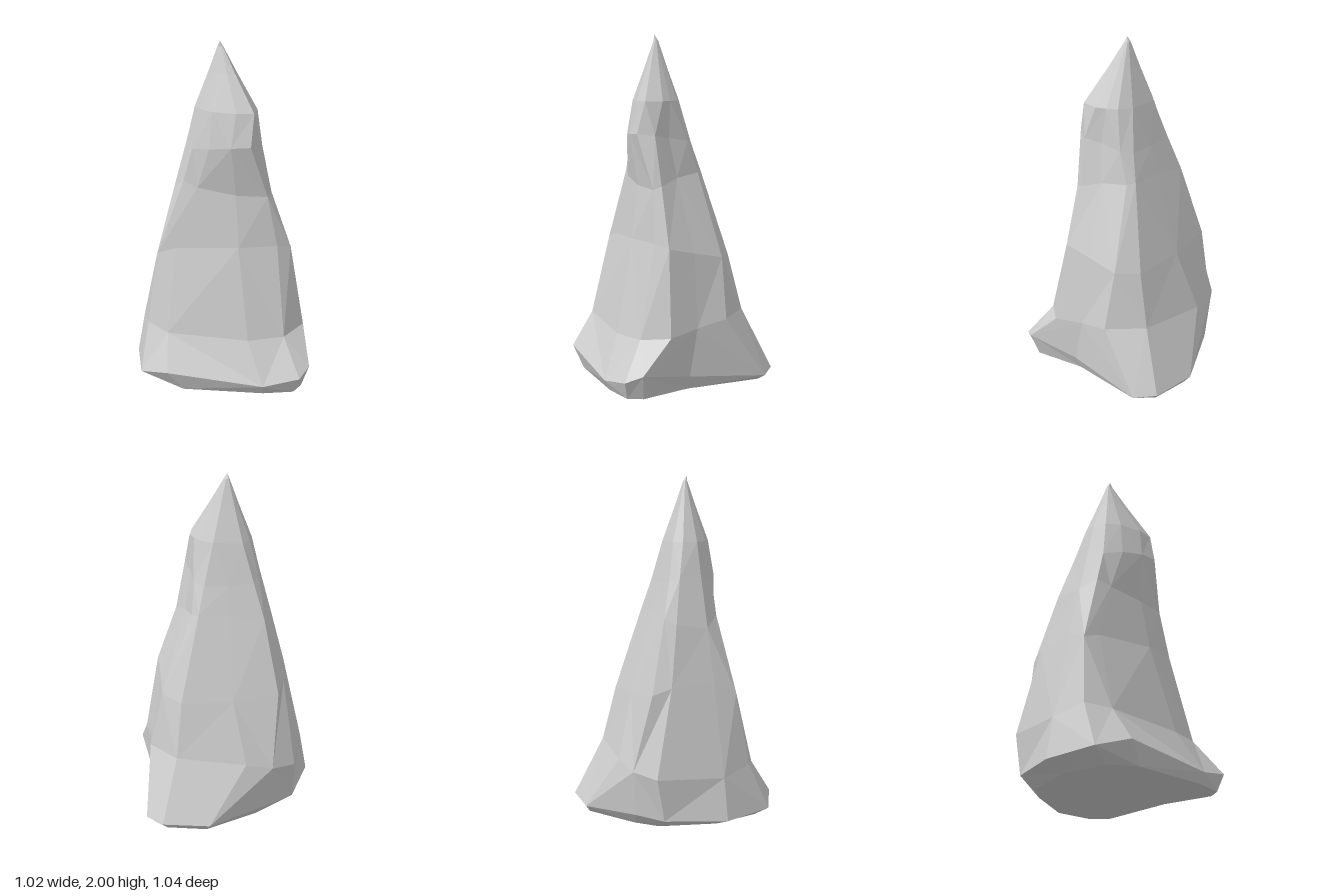
import * as THREE from 'three';

// Uneven height of the lip around the foot, then the heights of the sections above it
const LIP = [.10, .15, .09, .13, .17, .11, .06, .07, .07, .10, .09, .08];
const HEIGHTS = [0.36, 0.8, 1.2, 1.42, 1.63];
// Cross-sections from the lip up: 12 corners as x, z (front-right corner first, round via the left and back)
const SECTIONS = [
  [-.47, .36, -.31, .47, .24, .52, .45, .50, .51, .42, .46, .10, .51, -.37, .42, -.475, .15, -.52, -.22, -.37, -.37, -.27, -.51, .06],
  [-.43, .25, -.31, .33, .14, .38, .35, .34, .48, .22, .46, .05, .48, -.13, .33, -.34, -.08, -.42, -.23, -.395, -.37, -.32, -.46, .06],
  [-.37, .19, -.27, .21, .10, .28, .33, .25, .41, .20, .39, .03, .38, -.15, .28, -.24, .00, -.28, -.27, -.29, -.32, -.20, -.36, .06],
  [-.22, .15, -.13, .18, .08, .22, .25, .22, .27, .18, .24, .06, .21, -.10, .18, -.14, .00, -.16, -.20, -.18, -.24, -.12, -.26, .06],
  [-.16, .15, -.07, .22, .05, .27, .16, .28, .23, .20, .20, .09, .19, -.03, .13, -.08, .00, -.10, -.14, -.115, -.18, -.07, -.20, .06],
  [-.12, .13, -.05, .19, .08, .23, .18, .23, .20, .13, .18, .07, .15, .01, .08, -.04, .00, -.05, -.085, -.06, -.13, -.02, -.15, .06],
];
const SIDES = LIP.length;

function createRings() {
  const raw = SECTIONS.map((p, i) => LIP.map((lip, j) =>
    new THREE.Vector3(p[2 * j], i === 0 ? lip : HEIGHTS[i - 1], p[2 * j + 1])));

  // Slide corners along their ridges so the facets do not line up in bands
  const rings = raw.map((ring, i) => ring.map((v, j) => {
    if (i === 0 || i === raw.length - 1) return v.clone();
    const s = 0.14 * Math.sin(7 * j + 3 * i);
    return v.clone().lerp(raw[i + Math.sign(s)][j], Math.abs(s));
  }));

  // Taper to the tip, and tuck the underside in below the lip
  const top = raw[raw.length - 1];
  for (const [t, y] of [[0.55, 1.83], [0.91, 1.97]]) {
    rings.push(top.map((v) => new THREE.Vector3(
      THREE.MathUtils.lerp(v.x, -0.01, t), y, THREE.MathUtils.lerp(v.z, 0.06, t))));
  }
  rings.unshift(raw[0].map((v) => new THREE.Vector3(v.x * 0.84 + 0.04, 0.03, v.z * 0.94)));
  return rings;
}

function createRockGeometry() {
  const rings = createRings();
  const apex = new THREE.Vector3(-0.01, 2, 0.07);
  const base = new THREE.Vector3(0.15, 0, 0);
  const points = [];
  for (let j = 0; j < SIDES; j++) {
    const k = (j + 1) % SIDES;
    for (let i = 0; i < rings.length - 1; i++) {
      const a = rings[i][j], b = rings[i][k], c = rings[i + 1][k], d = rings[i + 1][j];
      // Alternate the diagonals for a chipped look
      if ((i + j) % 2) points.push(a, b, c, a, c, d);
      else points.push(a, b, d, b, c, d);
    }
    const last = rings[rings.length - 1];
    points.push(last[j], last[k], apex, rings[0][k], rings[0][j], base);
  }
  const geometry = new THREE.BufferGeometry().setFromPoints(points);
  geometry.computeVertexNormals();
  return geometry;
}

export function createModel() {
  const group = new THREE.Group();
  group.name = 'rockSpire';
  const rock = new THREE.Mesh(
    createRockGeometry(),
    new THREE.MeshStandardMaterial({ color: 0xcccccc, flatShading: true }));
  rock.name = 'rock';
  group.add(rock);
  return group;
}
